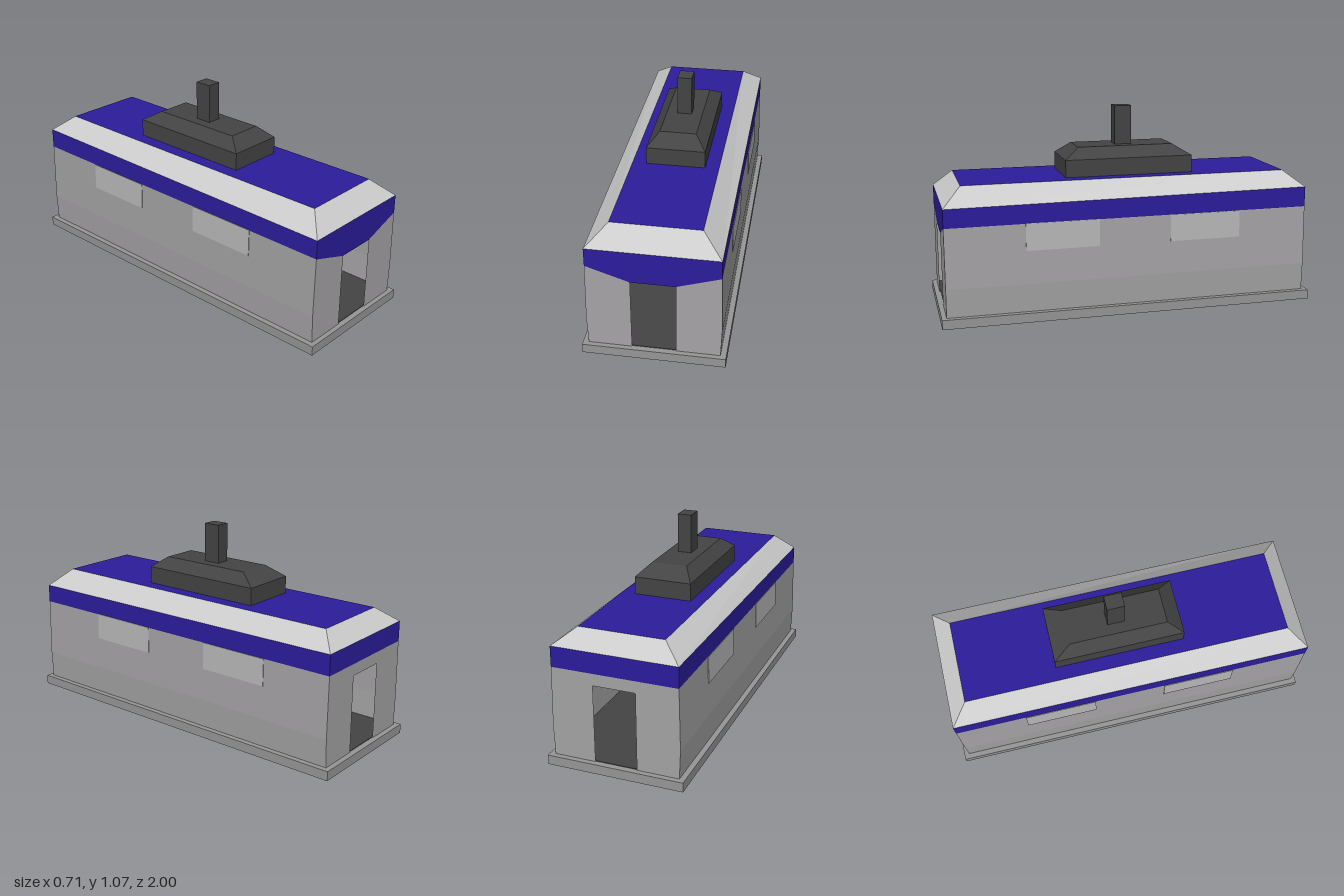
import * as THREE from 'three';

const mat = (color) => new THREE.MeshStandardMaterial({ color, flatShading: true, side: THREE.DoubleSide });
const WALL = mat(0xa5a3a5), BASE = mat(0x969696), ROOF = mat(0xc2c2c2);
const BLUE = mat(0x2c1c9c), DARK = mat(0x444444), PANE = mat(0xb8b8b8);

// Rectangular cross-section: half width, front z, back z, front y, back y
const ring = (x, zf, zb, yf, yb = yf) => [[-x, yf, zf], [x, yf, zf], [x, yb, zb], [-x, yb, zb]];

// Skin between stacked rings, on chosen sides (0 front, 1 left, 2 back, 3 right), with optional cap
function loft(rings, sides = [0, 1, 2, 3], cap = false) {
  const p = [];
  const quad = (a, b, c, d) => p.push(...a, ...b, ...c, ...a, ...c, ...d);
  for (let i = 0; i + 1 < rings.length; i++) {
    const lo = rings[i], hi = rings[i + 1];
    for (const s of sides) quad(lo[s], lo[(s + 1) % 4], hi[(s + 1) % 4], hi[s]);
  }
  if (cap) quad(...rings[rings.length - 1]);
  const g = new THREE.BufferGeometry();
  g.setAttribute('position', new THREE.Float32BufferAttribute(p, 3));
  g.computeVertexNormals();
  return g;
}

const panel = (pts) => new THREE.ShapeGeometry(new THREE.Shape(pts.map(([x, y]) => new THREE.Vector2(x, y))));

function box(x0, x1, y0, y1, z0, z1) {
  return new THREE.BoxGeometry(x1 - x0, y1 - y0, z1 - z0)
    .translate((x0 + x1) / 2, (y0 + y1) / 2, (z0 + z1) / 2);
}

export function createModel() {
  const model = new THREE.Group();
  model.name = 'tramCar';
  const add = (name, geometry, material, z = 0) => {
    const m = new THREE.Mesh(geometry, material);
    m.name = name;
    m.position.z = z;
    model.add(m);
  };
  const ZF = 0.975, ZB = -0.972, D = 0.11;

  // Base slab and cabin floor
  add('base', box(-0.357, 0.357, 0, 0.05, -1, 1), BASE);
  add('floor', box(-0.325, 0.325, 0.045, 0.053, ZB + 0.005, ZF - 0.005), DARK);

  // Slightly bulging side walls and the blue band above them
  const foot = ring(0.328, ZF, ZB, 0.05), belly = ring(0.334, ZF, ZB, 0.2);
  const bandLow = ring(0.328, ZF, ZB, 0.515, 0.52), eave = ring(0.328, ZF, ZB, 0.613, 0.628);
  add('sideWalls', loft([foot, belly, bandLow], [1, 3]), WALL);
  add('band', loft([bandLow, eave], [1, 2, 3]), BLUE);

  // Front: two pillars beside the doorway, and a deep blue brow
  for (const s of [-1, 1]) {
    add('frontPillar', panel([[s * D, 0.05], [s * 0.328, 0.05], [s * 0.334, 0.2], [s * 0.328, 0.515], [s * D, 0.443]]), WALL, ZF);
  }
  add('frontBrow', panel([[-0.328, 0.515], [-D, 0.443], [D, 0.443], [0.328, 0.515], [0.328, 0.613], [-0.328, 0.613]]), BLUE, ZF);

  // Back: one wall cut around the doorway
  add('backWall', panel([[-0.328, 0.05], [-D, 0.05], [-D, 0.458], [D, 0.458], [D, 0.05], [0.328, 0.05],
    [0.334, 0.2], [0.328, 0.52], [-0.328, 0.52], [-0.334, 0.2]]), WALL, ZB);

  // Side windows, two per side, leaning with the wall
  for (const s of [-1, 1]) {
    for (const z of [0.37, -0.4]) {
      const g = new THREE.BoxGeometry(0.006, 0.143, 0.385);
      g.rotateZ(s * 0.018);
      g.translate(s * 0.3295, 0.447, z);
      add('window', g, PANE);
    }
  }

  // Sloped roof edge and flat roof
  const crown = ring(0.225, 0.875, -0.878, 0.708);
  add('roofSlope', loft([eave, crown]), ROOF);
  add('roofTop', loft([crown], [], true), BLUE);

  // Roof housing with chamfered top, and the mast
  add('roofHousing', loft([ring(0.153, 0.317, -0.378, 0.706), ring(0.153, 0.317, -0.378, 0.8),
    ring(0.095, 0.237, -0.283, 0.858)], [0, 1, 2, 3], true), DARK);
  add('mast', box(-0.038, 0.038, 0.85, 1.065, -0.07, 0.022), DARK);

  return model;
}
